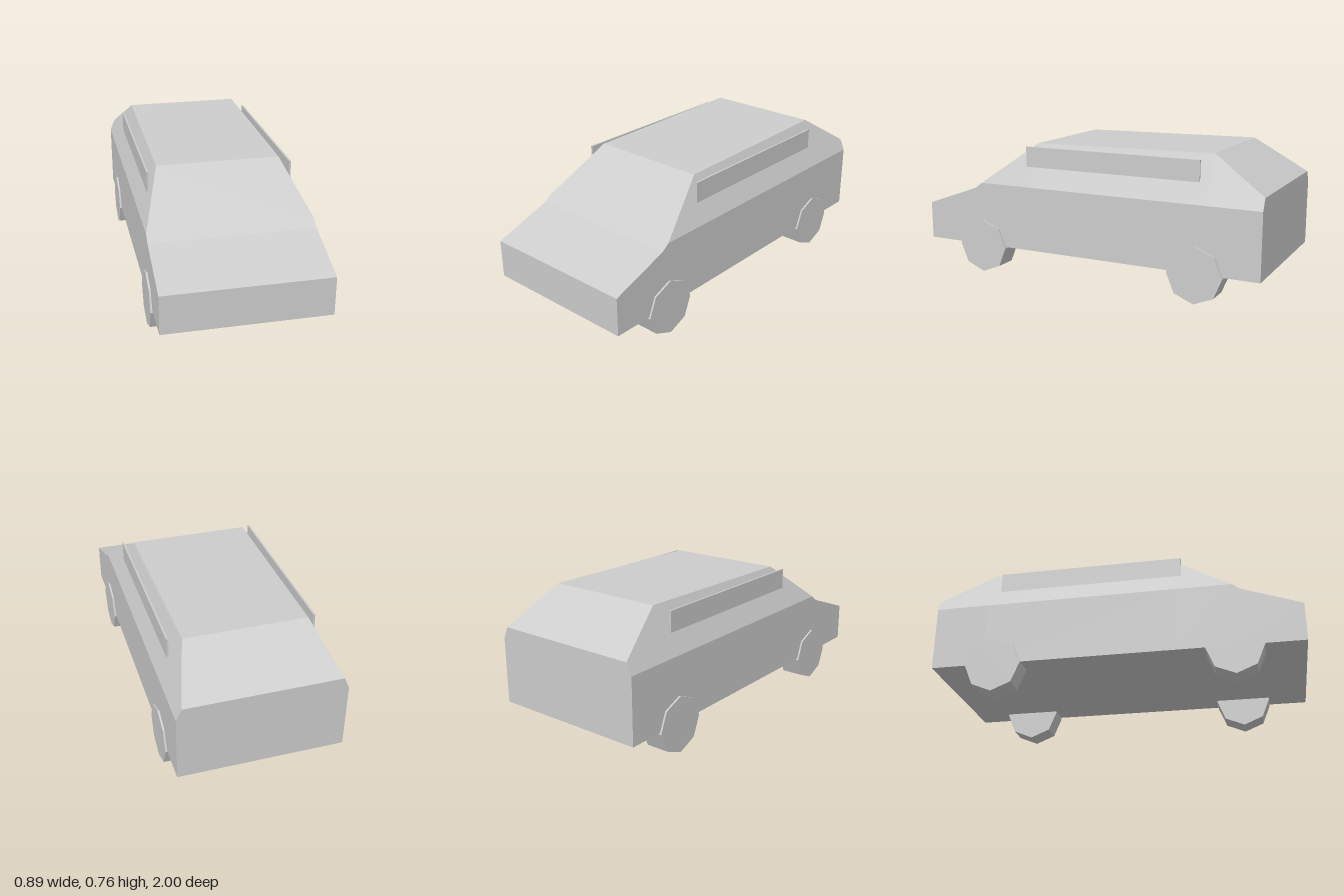
import * as THREE from 'three';

const FLOOR = 0.16, BELT = 0.517, HALF = 0.437, TAPER = 0.452;

// Closed hull lofted through cross-sections from nose to tail
function bodyGeometry() {
  // [z, top height]
  const stations = [[1, 0.37], [0.68, 0.485], [0.637, BELT], [0.32, 0.75], [-0.71, 0.765], [-1, 0.58]];
  const sections = stations.map(([z, y]) => {
    const belt = Math.min(y, BELT);
    const top = HALF - (y - belt) * TAPER;
    return [[HALF, FLOOR], [HALF, belt], [top, y], [-top, y], [-HALF, belt], [-HALF, FLOOR]]
      .map(([px, py]) => new THREE.Vector3(px, py, z));
  });
  const pos = [];
  const tri = (a, b, c) => {
    if (new THREE.Triangle(a, b, c).getArea() > 1e-7) {
      for (const p of [a, b, c]) pos.push(p.x, p.y, p.z);
    }
  };
  for (let i = 0; i < sections.length - 1; i++) {
    const f = sections[i], r = sections[i + 1];
    for (let j = 0; j < 6; j++) {
      const k = (j + 1) % 6;
      tri(f[j], r[j], r[k]);
      tri(f[j], r[k], f[k]);
    }
  }
  // Nose and tail panels
  const nose = sections[0], tail = sections[sections.length - 1];
  for (let j = 1; j < 5; j++) {
    tri(nose[0], nose[j], nose[j + 1]);
    tri(tail[0], tail[j + 1], tail[j]);
  }
  const geo = new THREE.BufferGeometry();
  geo.setAttribute('position', new THREE.Float32BufferAttribute(pos, 3));
  geo.computeVertexNormals();
  return geo;
}

export function createModel() {
  const model = new THREE.Group();
  model.name = 'car';
  const grey = new THREE.MeshStandardMaterial({ color: 0xcccccc, flatShading: true });
  grey.name = 'light grey';

  const add = (name, geo, x, y, z) => {
    const mesh = new THREE.Mesh(geo, grey);
    mesh.name = name;
    mesh.position.set(x, y, z);
    model.add(mesh);
  };

  add('body', bodyGeometry(), 0, 0, 0);

  // Eight-sided wheels and roof rails, mirrored left and right
  const wheel = new THREE.CylinderGeometry(0.152, 0.152, 0.125, 8).rotateZ(Math.PI / 2);
  const rail = new THREE.BoxGeometry(0.01, 0.115, 1.02);
  for (const [side, s] of [['left', 1], ['right', -1]]) {
    add(side + 'FrontWheel', wheel, s * 0.3845, 0.153, 0.635);
    add(side + 'RearWheel', wheel, s * 0.3845, 0.153, -0.655);
    add(side + 'RoofRail', rail, s * 0.384, 0.6775, -0.145);
  }
  return model;
}
